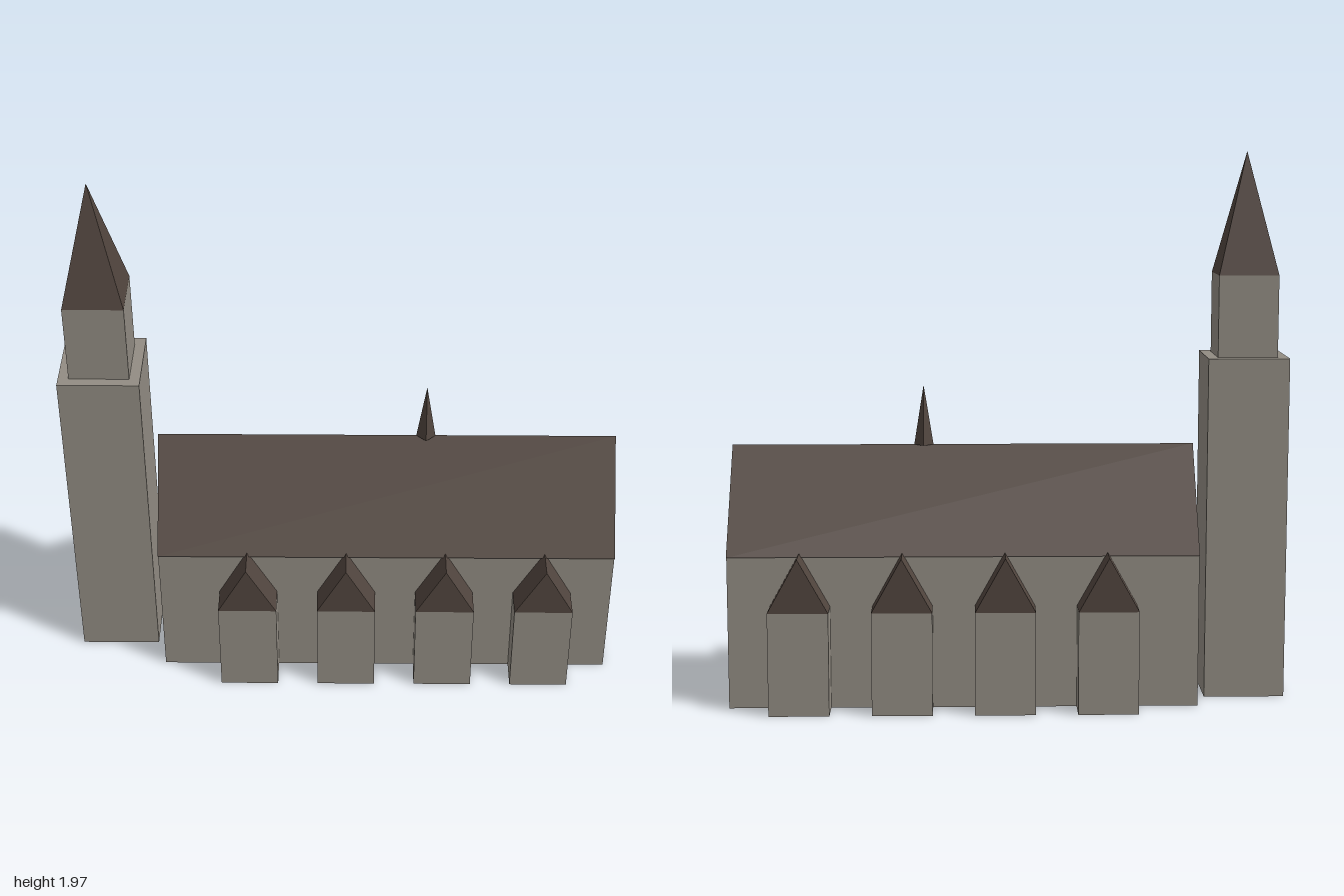
import * as THREE from 'three';

export function createModel() {
  const model = new THREE.Group();
  const stone = new THREE.MeshStandardMaterial({ name: 'pale stone', color: 0x928c83 });
  const tile = new THREE.MeshStandardMaterial({ name: 'brown roof tile', color: 0x51453e });

  const add = (name, geometry, material, x, y, z, parent = model) => {
    const mesh = new THREE.Mesh(geometry, material);
    mesh.name = name;
    mesh.position.set(x, y, z);
    parent.add(mesh);
    return mesh;
  };

  // Box standing on height y
  const block = (name, w, h, d, x, y, z, parent) =>
    add(name, new THREE.BoxGeometry(w, h, d), stone, x, y + h / 2, z, parent);

  // Triangular prism, ridge along z, centred on its length
  const gable = (width, height, length) => {
    const s = new THREE.Shape();
    s.moveTo(-width / 2, 0);
    s.lineTo(width / 2, 0);
    s.lineTo(0, height);
    s.closePath();
    return new THREE.ExtrudeGeometry(s, { depth: length, bevelEnabled: false })
      .translate(0, 0, -length / 2);
  };

  // Four-sided pyramid with crisp faces; radius reaches the corners
  const pyramid = (radius, height, turn) =>
    new THREE.ConeGeometry(radius, height, 4).toNonIndexed()
      .rotateY(turn).translate(0, height / 2, 0);
  const crisp = (g) => { g.computeVertexNormals(); return g; };

  // Bell tower beside the nave
  const tower = new THREE.Group();
  tower.name = 'bellTower';
  model.add(tower);
  block('towerShaft', 0.29, 1.237, 0.29, -0.855, 0, 0, tower);
  block('towerBelfry', 0.214, 0.293, 0.214, -0.855, 1.237, 0, tower);
  add('towerSpire', crisp(pyramid(0.107 * Math.SQRT2, 0.437, Math.PI / 4)), tile, -0.855, 1.53, 0, tower);

  // Nave with a slightly overhanging roof
  block('naveWalls', 1.674, 0.55, 0.51, 0.163, 0, 0);
  add('naveRoof', gable(0.534, 0.362, 1.674), tile, 0.163, 0.55, 0).rotation.y = Math.PI / 2;

  // Small spire on the ridge
  add('ridgeSpire', crisp(pyramid(0.035, 0.218, 0)), tile, 0.306, 0.911, 0);

  // Gabled side chapels along both long walls
  for (const side of [1, -1]) {
    for (let i = 0; i < 4; i++) {
      const chapel = new THREE.Group();
      chapel.name = 'sideChapel';
      chapel.position.set(-0.347 + i * 0.3635, 0, side * 0.303);
      model.add(chapel);
      block('chapelWalls', 0.214, 0.37, 0.12, 0, 0, 0, chapel);
      add('chapelRoof', gable(0.214, 0.193, 0.12), tile, 0, 0.37, 0, chapel);
    }
  }
  return model;
}
